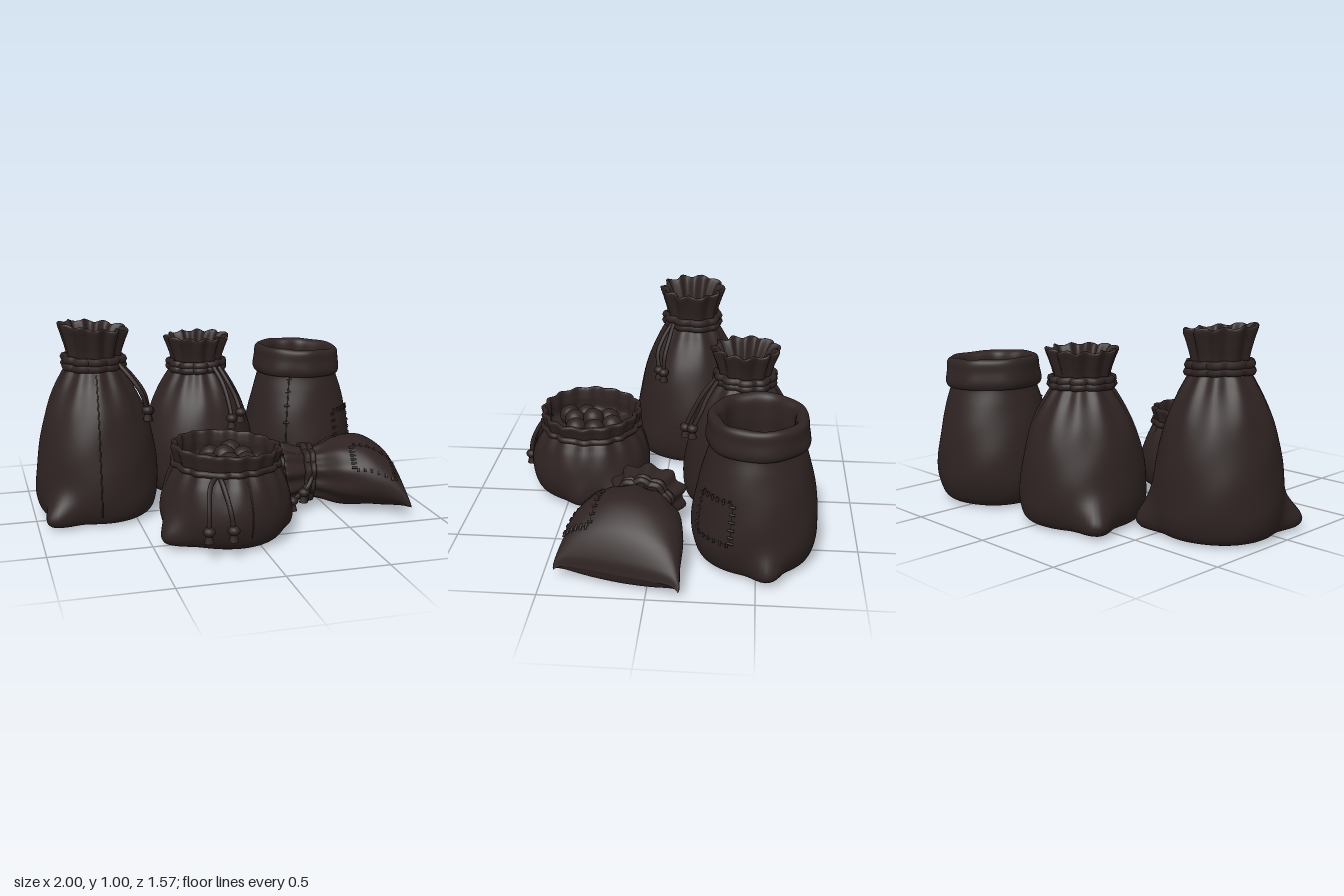
import * as THREE from 'three';

const V = (x, y, z) => new THREE.Vector3(x, y, z);
const cloth = new THREE.MeshStandardMaterial({ color: 0x2e2322, side: THREE.DoubleSide });
cloth.name = 'darkBrownCloth';

function add(parent, name, geometry) {
  const m = new THREE.Mesh(geometry, cloth);
  m.name = name;
  parent.add(m);
  return m;
}

// Smooth surface from fn(t, a); closed in a when wrap is true
function loft(fn, t0, t1, nt, a0, a1, na, wrap) {
  const pos = [], idx = [], w = wrap ? na : na + 1;
  for (let i = 0; i <= nt; i++)
    for (let j = 0; j < w; j++) {
      const p = fn(t0 + (t1 - t0) * i / nt, a0 + (a1 - a0) * j / na);
      pos.push(p.x, p.y, p.z);
    }
  for (let i = 0; i < nt; i++)
    for (let j = 0; j < na; j++) {
      const k = (j + 1) % w, a = i * w + j, b = i * w + k, c = b + w, d = a + w;
      idx.push(a, b, c, a, c, d);
    }
  const g = new THREE.BufferGeometry();
  g.setAttribute('position', new THREE.Float32BufferAttribute(pos, 3));
  g.setIndex(idx);
  g.computeVertexNormals();
  return g;
}

// Point lifted off a surface along its normal
function lift(fn, t, a, off) {
  const p = fn(t, a), e = 0.02;
  const da = fn(t, a + e).sub(fn(t, a - e)), dt = fn(t + e, a).sub(fn(t - e, a));
  return p.addScaledVector(da.cross(dt).normalize(), off);
}

function tube(parent, name, pts, r, closed = false) {
  const c = new THREE.CatmullRomCurve3(pts, closed);
  return add(parent, name, new THREE.TubeGeometry(c, pts.length * 4, r, 7, closed));
}

const ear = (a, b) => Math.exp(-(Math.pow(Math.atan2(Math.sin(a - b), Math.cos(a - b)) / 0.24, 2)));

// Upright sack: profile rows are [radius, height, pleat depth]
function uprightSurface({ profile, x, z, folds, ears, tilt = 0, phase = 0 }) {
  const curve = new THREE.CatmullRomCurve3(profile.map(p => V(...p)));
  const n = profile.length - 1, H = Math.max(...profile.map(p => p[1]));
  return (t, a) => {
    const p = curve.getPoint(THREE.MathUtils.clamp(t / n, 0, 1));
    const wave = Math.cos(folds * a + phase + 0.6 * Math.sin(2 * a));
    let r = Math.max(0, p.x) * (1 + p.z * wave + 0.012 * Math.sin(3 * a + 9 * p.y + phase)
      + 0.005 * Math.sin(5 * a - 22 * p.y));
    const low = Math.exp(-Math.pow((p.y - 0.04) / 0.1, 2)) * Math.min(1, p.x / 0.28) ** 3;
    for (const [angle, size] of ears) r += size * low * ear(a, angle);
    const dx = r * Math.sin(a), k = Math.pow(Math.max(0, p.y) / H, 5);
    const y = Math.max(0, p.y) + k * (tilt * dx + 0.07 * p.z * Math.sin(folds * a + phase));
    return V(x + dx, y, z + r * Math.cos(a));
  };
}

// Seam along one angle, optionally stitched
function seam(parent, fn, t0, t1, a, stitches) {
  const pts = [];
  for (let i = 0; i <= 14; i++) pts.push(lift(fn, t0 + (t1 - t0) * i / 14, a, -0.001));
  tube(parent, 'seam', pts, 0.004);
  for (let i = 0; i < stitches; i++) {
    const t = t0 + (t1 - t0) * (i + 0.5) / stitches;
    tube(parent, 'seamStitch', [-0.06, 0, 0.06].map(d => lift(fn, t, a + d, 0.003)), 0.005);
  }
}

// Cloth patch with stitches across its four edges
function patch(parent, fn, t0, t1, a0, a1) {
  add(parent, 'patch', loft((t, a) => lift(fn, t, a, 0.007), t0, t1, 10, a0, a1, 10, false));
  const dt = (t1 - t0) * 0.07, da = (a1 - a0) * 0.07;
  for (let i = 0; i < 6; i++) {
    const f = (i + 0.5) / 6, t = t0 + (t1 - t0) * f, a = a0 + (a1 - a0) * f;
    for (const e of [a0, a1])
      tube(parent, 'patchStitch', [-da, 0, da].map(d => lift(fn, t, e + d, 0.007)), 0.006);
    for (const e of [t0, t1])
      tube(parent, 'patchStitch', [-dt, 0, dt].map(d => lift(fn, e + d, a, 0.007)), 0.006);
  }
}

// Hanging cord ending in a knot and a frayed tip
function cord(parent, pts) {
  tube(parent, 'cord', pts, 0.012);
  const end = pts[pts.length - 1];
  const knot = add(parent, 'cordKnot', new THREE.SphereGeometry(0.03, 14, 10));
  knot.position.copy(end);
  knot.scale.y = 0.8;
  const tip = add(parent, 'cordTip', new THREE.CylinderGeometry(0.014, 0.024, 0.04, 10));
  tip.position.copy(end).y -= 0.033;
}

// Rope wound around a neck
function rope(parent, fn, t, off, r, n = 40) {
  const pts = [];
  for (let i = 0; i < n; i++) {
    const a = i / n * Math.PI * 2;
    pts.push(lift(fn, t + 0.08 * Math.sin(2 * a), a, off));
  }
  tube(parent, 'rope', pts, r, true);
}

function sack(root, name, fn, rows) {
  const g = new THREE.Group();
  g.name = name;
  root.add(g);
  add(g, name + 'Cloth', loft(fn, 0, rows - 1, rows * 6, 0, Math.PI * 2, 112, true));
  return g;
}

const tiedProfile = h => [[0, 0, 0], [0.23, 0, 0], [0.285, 0.025, 0], [0.311, 0.1, 0], [0.31, 0.25, 0],
  [0.288, 0.41, 0], [0.25, 0.56, 0.012], [0.208, 0.66, 0.025], [0.165, 0.74, 0.045], [0.132, 0.805, 0.05],
  [0.136, 0.86, 0.06], [0.153, 0.93, 0.075], [0.168, 0.99, 0.085], [0.155, 0.995, 0.095], [0.122, 0.92, 0.13],
  [0.1, 0.82, 0.15], [0.09, 0.7, 0.1], [0, 0.66, 0]].map(([r, y, p]) => [r, y * h, p]);

export function createModel() {
  const root = new THREE.Group();
  root.name = 'sacks';

  // Tall tied sack
  const tallP = tiedProfile(0.98);
  const tall = uprightSurface({ profile: tallP, x: -0.67, z: -0.11, folds: 10, tilt: -0.1,
    ears: [[-0.75, 0.11], [2.35, 0.09]] });
  const tallSack = sack(root, 'tallSack', tall, tallP.length);
  rope(tallSack, tall, 8.75, 0.01, 0.02);
  rope(tallSack, tall, 9.4, 0.014, 0.02);
  seam(tallSack, tall, 2.5, 8.4, -0.07, 0);
  cord(tallSack, [V(-0.56, 0.79, 0), V(-0.51, 0.73, 0.04), V(-0.46, 0.65, 0.07), V(-0.43, 0.56, 0.06)]);
  cord(tallSack, [V(-0.55, 0.79, -0.01), V(-0.49, 0.72, 0.01), V(-0.44, 0.64, 0.03), V(-0.42, 0.55, 0.035)]);

  // Middle tied sack
  const midP = tiedProfile(0.85);
  const mid = uprightSurface({ profile: midP, x: -0.06, z: -0.42, folds: 11, phase: 1,
    ears: [[-2.13, 0.1], [1.0, 0.06]] });
  const midSack = sack(root, 'middleSack', mid, midP.length);
  rope(midSack, mid, 8.75, 0.01, 0.02);
  rope(midSack, mid, 9.4, 0.014, 0.02);
  cord(midSack, [V(0.0, 0.69, -0.27), V(0.03, 0.62, -0.21), V(0.05, 0.53, -0.16), V(0.06, 0.44, -0.12)]);
  cord(midSack, [V(0.03, 0.69, -0.28), V(0.07, 0.61, -0.23), V(0.1, 0.54, -0.2), V(0.12, 0.46, -0.16)]);

  // Open sack with rolled rim
  const openP = [[0, 0, 0], [0.2, 0, 0], [0.26, 0.03, 0], [0.298, 0.12, 0], [0.302, 0.23, 0], [0.277, 0.4, 0],
    [0.247, 0.52, 0], [0.222, 0.61, 0], [0.232, 0.605, 0.01], [0.244, 0.63, 0.015], [0.238, 0.69, 0.01],
    [0.232, 0.74, 0.01], [0.212, 0.755, 0.02], [0.182, 0.735, 0.03], [0.172, 0.65, 0.03], [0.172, 0.48, 0], [0, 0.46, 0]];
  const open = uprightSurface({ profile: openP, x: 0.545, z: -0.49, folds: 7, tilt: -0.04,
    ears: [[1.77, 0.08], [-0.84, 0.06]] });
  const openSack = sack(root, 'rolledSack', open, openP.length);
  patch(openSack, open, 3.75, 5.05, 0.5, 1.2);
  seam(openSack, open, 2.5, 7, -0.5, 7);

  // Low sack filled with balls
  const lowP = [[0, 0, 0], [0.23, 0, 0], [0.285, 0.035, 0], [0.317, 0.12, 0], [0.316, 0.2, 0], [0.29, 0.29, 0.015],
    [0.264, 0.34, 0.025], [0.248, 0.37, 0.03], [0.256, 0.41, 0.03], [0.264, 0.452, 0.03], [0.246, 0.458, 0.03],
    [0.235, 0.41, 0.03], [0.23, 0.34, 0.02], [0, 0.33, 0]];
  const low = uprightSurface({ profile: lowP, x: -0.115, z: 0.4, folds: 16, tilt: -0.05,
    ears: [[-1.15, 0.085], [2.1, 0.06], [1.5, 0.04]] });
  const lowSack = sack(root, 'filledSack', low, lowP.length);
  rope(lowSack, low, 7, 0.008, 0.016);
  seam(lowSack, low, 2.5, 6.5, 0.15, 0);
  cord(lowSack, [V(-0.22, 0.37, 0.63), V(-0.26, 0.33, 0.67), V(-0.28, 0.22, 0.73), V(-0.285, 0.14, 0.74)]);
  cord(lowSack, [V(-0.21, 0.37, 0.63), V(-0.2, 0.33, 0.68), V(-0.18, 0.22, 0.74), V(-0.17, 0.14, 0.75)]);
  for (const [x, y, z] of [[-0.06, 0.38, 0.28], [-0.02, 0.37, 0.37], [-0.12, 0.39, 0.39], [-0.17, 0.37, 0.31],
    [-0.21, 0.37, 0.44], [-0.12, 0.38, 0.49], [-0.03, 0.37, 0.47], [-0.2, 0.37, 0.53]])
    add(lowSack, 'ball', new THREE.SphereGeometry(0.056, 20, 14)).position.set(x, y, z);

  // Sack lying on its side: rows are [along, half width, half height, centre height, pleat]
  const lieP = [[0, 0.305, 0, 0.075, 0], [0.015, 0.308, 0.06, 0.088, 0], [0.08, 0.292, 0.13, 0.133, 0],
    [0.22, 0.27, 0.176, 0.178, 0], [0.35, 0.228, 0.174, 0.178, 0.02], [0.45, 0.15, 0.14, 0.17, 0.05],
    [0.51, 0.122, 0.125, 0.168, 0.06], [0.57, 0.155, 0.14, 0.165, 0.07], [0.65, 0.19, 0.155, 0.168, 0.08],
    [0.65, 0.172, 0.138, 0.168, 0.09], [0.58, 0.12, 0.11, 0.17, 0.12], [0.51, 0.08, 0.08, 0.17, 0.1], [0.49, 0, 0, 0.17, 0]];
  const shape = new THREE.CatmullRomCurve3(lieP.map(p => V(p[0], p[1], p[2])));
  const extra = new THREE.CatmullRomCurve3(lieP.map(p => V(p[3], p[4], 0)));
  const axis = V(-0.99, 0, -0.14), side = V(0.14, 0, -0.99);
  const lie = (t, a) => {
    const u = THREE.MathUtils.clamp(t / (lieP.length - 1), 0, 1);
    const p = shape.getPoint(u), e = extra.getPoint(u), sn = Math.sin(a), cs = Math.cos(a);
    const f = 1 + e.y * Math.cos(10 * a) + 0.01 * Math.sin(3 * a + 9 * p.x);
    // plump cross-section; the base runs askew and its two corners are drawn out
    const up = Math.sign(cs) * Math.abs(cs) ** (1 - 0.25 * Math.exp(-p.x * 4));
    const s = p.x - (0.03 * sn + 0.015 * sn ** 12) * Math.exp(-p.x * 8);
    const q = V(0.922, 0, 0.14).addScaledVector(axis, s).addScaledVector(side, p.y * f * sn);
    q.y = Math.max(0.003, e.x + p.z * f * up - 0.025 * sn ** 12 * Math.exp(-p.x * 12));
    return q;
  };
  const lyingSack = sack(root, 'lyingSack', lie, lieP.length);
  rope(lyingSack, lie, 5.75, 0.01, 0.018);
  rope(lyingSack, lie, 6.35, 0.012, 0.018);
  patch(lyingSack, lie, 2.1, 3.6, -1.25, -0.55);
  cord(lyingSack, [V(0.42, 0.2, 0.16), V(0.4, 0.18, 0.21), V(0.37, 0.14, 0.235), V(0.35, 0.11, 0.23)]);
  cord(lyingSack, [V(0.42, 0.18, 0.16), V(0.38, 0.15, 0.21), V(0.33, 0.1, 0.23), V(0.29, 0.07, 0.23)]);

  return root;
}
